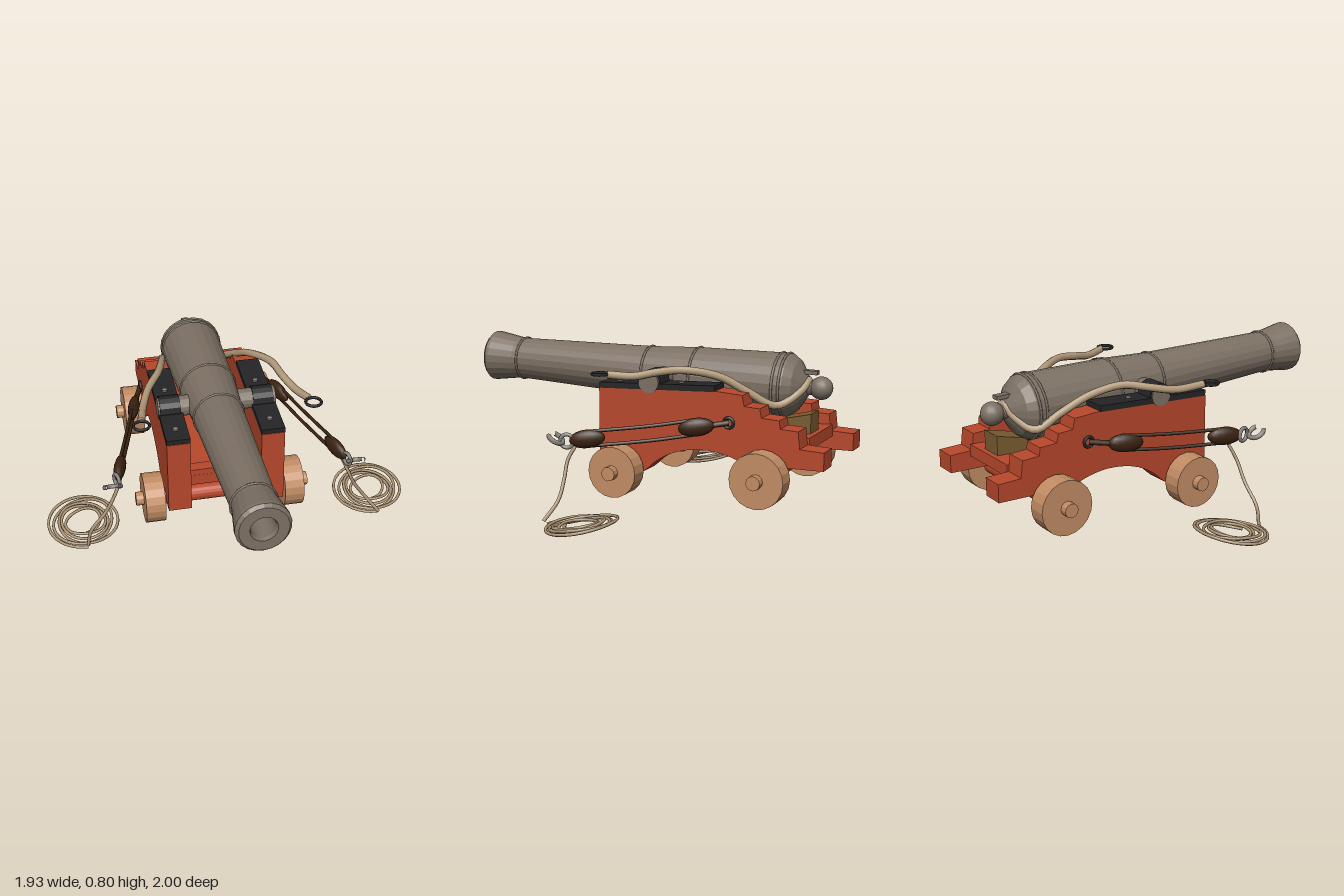
import * as THREE from 'three';

const mat = (name, color) => Object.assign(new THREE.MeshStandardMaterial({ color }), { name });
const V = (a) => new THREE.Vector3(...a);

export function createModel() {
  const red = mat('red painted wood', 0xb8482c);
  const iron = mat('gun iron', 0x7c7064);
  const black = mat('black iron', 0x242426);
  const tan = mat('wheel wood', 0xc28c64);
  const ropeTan = mat('hemp rope', 0xb09878);
  const brown = mat('dark block wood', 0x39210f);
  const wedge = mat('wedge wood', 0x7a5c30);
  const steel = mat('hook steel', 0x8a847e);

  const model = new THREE.Group();
  model.name = 'navalCannon';

  // Faceted copy of a geometry
  const facet = (g) => {
    const f = g.index ? g.toNonIndexed() : g;
    f.computeVertexNormals();
    return f;
  };
  const add = (parent, name, geo, material, pos = [0, 0, 0]) => {
    const m = new THREE.Mesh(geo, material);
    m.name = name;
    m.position.set(...pos);
    parent.add(m);
    return m;
  };
  const box = (parent, name, size, material, pos) =>
    add(parent, name, new THREE.BoxGeometry(...size), material, pos);
  // Cylinder lying along x
  const axleX = (parent, name, r, length, material, pos, sides = 18) =>
    add(parent, name, facet(new THREE.CylinderGeometry(r, r, length, sides).rotateZ(Math.PI / 2)), material, pos);
  const rope = (parent, name, pts, r, material, segs = 40, sides = 7) =>
    add(parent, name, new THREE.TubeGeometry(new THREE.CatmullRomCurve3(pts), segs, r, sides), material);

  // ---- Carriage ----
  const carriage = new THREE.Group();
  carriage.name = 'carriage';
  model.add(carriage);
  const CX = -0.05;

  // Stepped cheek outline, drawn as (-z, y)
  const outline = new THREE.Shape();
  outline.moveTo(-0.19, 0.19);
  outline.lineTo(0.06, 0.19);
  outline.lineTo(0.085, 0.21);
  outline.quadraticCurveTo(0.2, 0.33, 0.4, 0.33);
  outline.quadraticCurveTo(0.51, 0.325, 0.6, 0.28);
  [[1, 0.285], [1, 0.375], [0.88, 0.38], [0.87, 0.465], [0.78, 0.47], [0.775, 0.51], [0.685, 0.515],
    [0.675, 0.56], [0.595, 0.565], [0.585, 0.618], [0.44, 0.628], [-0.19, 0.602]]
    .forEach(([x, y]) => outline.lineTo(x, y));
  const cheekGeo = new THREE.ExtrudeGeometry(outline, { depth: 0.12, bevelEnabled: false, curveSegments: 8 });
  cheekGeo.translate(0, 0, -0.06).rotateY(Math.PI / 2);

  for (const s of [-1, 1]) {
    const x = CX + s * 0.242;
    add(carriage, 'cheek', cheekGeo, red, [x, 0, 0]);
    const strap = box(carriage, 'cheekStrap', [0.122, 0.03, 0.63], black, [x, 0.626, -0.127]);
    strap.rotation.x = 0.04;
    axleX(carriage, 'trunnionCap', 0.062, 0.105, black, [x - 0.003, 0.645, -0.087], 14);
    for (const z of [0.1, -0.24])
      add(carriage, 'strapBolt', new THREE.CylinderGeometry(0.014, 0.014, 0.012, 8), steel, [x, 0.642 - z * 0.04 - 0.004, z]);
  }

  // Bed, transom and wedge under the breech
  const bed = box(carriage, 'bed', [0.37, 0.06, 1.05], red, [CX, 0.365, -0.365]);
  bed.rotation.x = 0.035;
  box(carriage, 'transom', [0.37, 0.09, 0.06], red, [CX, 0.365, 0.13]);
  const quoin = new THREE.BoxGeometry(0.125, 0.12, 0.34);
  const qp = quoin.attributes.position;
  for (let i = 0; i < qp.count; i++) if (qp.getY(i) > 0 && qp.getZ(i) > 0) qp.setY(i, -0.02);
  quoin.computeVertexNormals();
  add(carriage, 'elevatingWedge', facet(quoin), wedge, [-0.03, 0.45, -0.69]);

  // Axles and wheels
  for (const [z, y, r] of [[0.064, 0.195, 0.13], [-0.703, 0.23, 0.137]]) {
    axleX(carriage, 'axle', 0.045, 0.64, red, [CX, y, z]);
    for (const s of [-1, 1]) {
      axleX(carriage, 'wheel', r, 0.102, tan, [CX + s * 0.366, y, z], 20);
      axleX(carriage, 'axleEnd', 0.036, 0.06, tan, [CX + s * 0.427, y, z], 12);
    }
  }

  // ---- Barrel, slightly raised at the muzzle ----
  const barrel = new THREE.Group();
  barrel.name = 'barrel';
  barrel.position.set(-0.062, 0.648, 0);
  barrel.rotation.set(-0.029, 0.02, 0);
  model.add(barrel);
  const profile = [[0, -0.81], [0.045, -0.81], [0.085, -0.785], [0.13, -0.755], [0.158, -0.715], [0.161, -0.69],
    [0.148, -0.22], [0.13, 0.05], [0.11, 0.79], [0.112, 0.83], [0.133, 0.965], [0.133, 0.982], [0.118, 0.998],
    [0.066, 0.998], [0.06, 0.98], [0.06, 0.8], [0, 0.8]];
  const lathe = new THREE.LatheGeometry(profile.map(([r, t]) => new THREE.Vector2(r, t)), 22);
  add(barrel, 'gunTube', facet(lathe.rotateX(Math.PI / 2)), iron);
  for (const [z, r] of [[-0.7, 0.16], [-0.665, 0.16], [-0.22, 0.147], [0.05, 0.13], [0.8, 0.111]])
    add(barrel, 'reinforceRing', new THREE.TorusGeometry(r, 0.007, 6, 22), iron, [0, 0, z]);
  add(barrel, 'breechNeck', new THREE.CylinderGeometry(0.035, 0.045, 0.08, 12).rotateX(-Math.PI / 2), iron, [0, 0, -0.82]);
  add(barrel, 'breechKnob', new THREE.SphereGeometry(0.058, 16, 12), iron, [0, 0, -0.875]);
  box(barrel, 'ropeLoop', [0.04, 0.075, 0.02], iron, [0, 0.045, -0.785]);
  box(barrel, 'ropeLoopTop', [0.04, 0.02, 0.08], iron, [0, 0.075, -0.815]);
  axleX(model, 'trunnions', 0.054, 0.612, iron, [CX, 0.645, -0.087], 16);

  // ---- Breeching rope around the knob, ending in rings ----
  rope(model, 'breechingRope', [
    [-0.46, 0.7, 0.09], [-0.43, 0.69, -0.06], [-0.385, 0.71, -0.18], [-0.32, 0.725, -0.29], [-0.275, 0.69, -0.45],
    [-0.25, 0.62, -0.6], [-0.215, 0.55, -0.72], [-0.13, 0.61, -0.79], [-0.077, 0.66, -0.812],
    [0, 0.61, -0.79], [0.09, 0.55, -0.7], [0.15, 0.62, -0.57], [0.2, 0.69, -0.45], [0.285, 0.725, -0.29],
    [0.32, 0.71, -0.16], [0.36, 0.69, -0.06], [0.41, 0.697, 0.06]].map(V), 0.02, ropeTan, 90, 8);
  for (const p of [[-0.465, 0.7, 0.13], [0.42, 0.7, 0.095]])
    add(model, 'ropeRing', new THREE.TorusGeometry(0.04, 0.008, 6, 18).rotateX(Math.PI / 2), black, p);

  // ---- Tackle: two blocks, running ropes, hooks and a coiled fall ----
  const tackle = (name, { eye, rear, front, hook, fall, coil }) => {
    const g = new THREE.Group();
    g.name = name;
    model.add(g);
    const [e, a, b, h] = [eye, rear, front, hook].map(V);
    const dir = b.clone().sub(a).normalize();
    const along = (p, d, dy = 0) => p.clone().addScaledVector(dir, d).add(V([0, dy, 0]));
    for (const p of [a, b]) {
      const block = add(g, 'pulleyBlock', new THREE.SphereGeometry(1, 14, 10).scale(0.03, 0.046, 0.09), brown, p.toArray());
      block.lookAt(p.clone().add(dir));
    }
    for (const dy of [-0.036, 0.036])
      rope(g, 'runningRope', [along(a, 0, dy), along(a, 0.22, dy - 0.006), along(b, 0, dy)], 0.009, brown, 10, 6);
    rope(g, 'rearLashing', [along(a, -0.05), e], 0.014, brown, 6, 6);
    const ring = add(g, 'cheekEye', new THREE.TorusGeometry(0.025, 0.009, 6, 14), black, e.toArray());
    ring.rotation.y = Math.PI / 2;
    // Shackle and open hook at the front end
    const s = add(g, 'shackle', new THREE.TorusGeometry(0.033, 0.01, 6, 16), steel, along(b, 0.1).toArray());
    s.rotation.y = Math.PI / 2 + 0.3;
    const k = add(g, 'hook', new THREE.TorusGeometry(0.04, 0.012, 6, 16, Math.PI * 1.5), steel, h.toArray());
    k.rotation.set(Math.PI / 2 - 0.6, 0, Math.PI * 0.75);
    // Falling rope
    rope(g, 'fallRope', fall.map(V), 0.009, ropeTan, 20, 6);
    // Loose spiral lying on the ground
    const pts = [];
    const turns = 5, steps = turns * 20;
    for (let i = 0; i <= steps; i++) {
      const t = i / steps, ang = t * turns * Math.PI * 2 + Math.PI / 2;
      const r = 0.188 - 0.11 * t + 0.006 * Math.sin(ang * 2.3);
      const z = r * Math.sin(ang);
      pts.push(V([coil[0] + r * Math.cos(ang), coil[1] - 0.14 * z + 0.006 * Math.sin(ang * 1.7), coil[2] + z]));
    }
    rope(g, 'ropeCoil', pts, 0.008, ropeTan, 220, 6);
  };

  tackle('leftTackle', {
    eye: [0.285, 0.485, -0.53], rear: [0.355, 0.465, -0.39], front: [0.55, 0.4, 0.1], hook: [0.62, 0.405, 0.235],
    fall: [[0.57, 0.37, 0.15], [0.6, 0.3, 0.18], [0.64, 0.21, 0.18], [0.7, 0.12, 0.18], [0.775, 0.03, 0.22]],
    coil: [0.775, 0.04, 0.02],
  });
  tackle('rightTackle', {
    eye: [-0.385, 0.5, -0.53], rear: [-0.445, 0.48, -0.36], front: [-0.585, 0.46, 0.13], hook: [-0.64, 0.465, 0.285],
    fall: [[-0.585, 0.42, 0.15], [-0.62, 0.34, 0.18], [-0.68, 0.23, 0.19], [-0.76, 0.13, 0.2], [-0.78, 0.04, 0.2]],
    coil: [-0.78, 0.055, 0.02],
  });

  return model;
}
